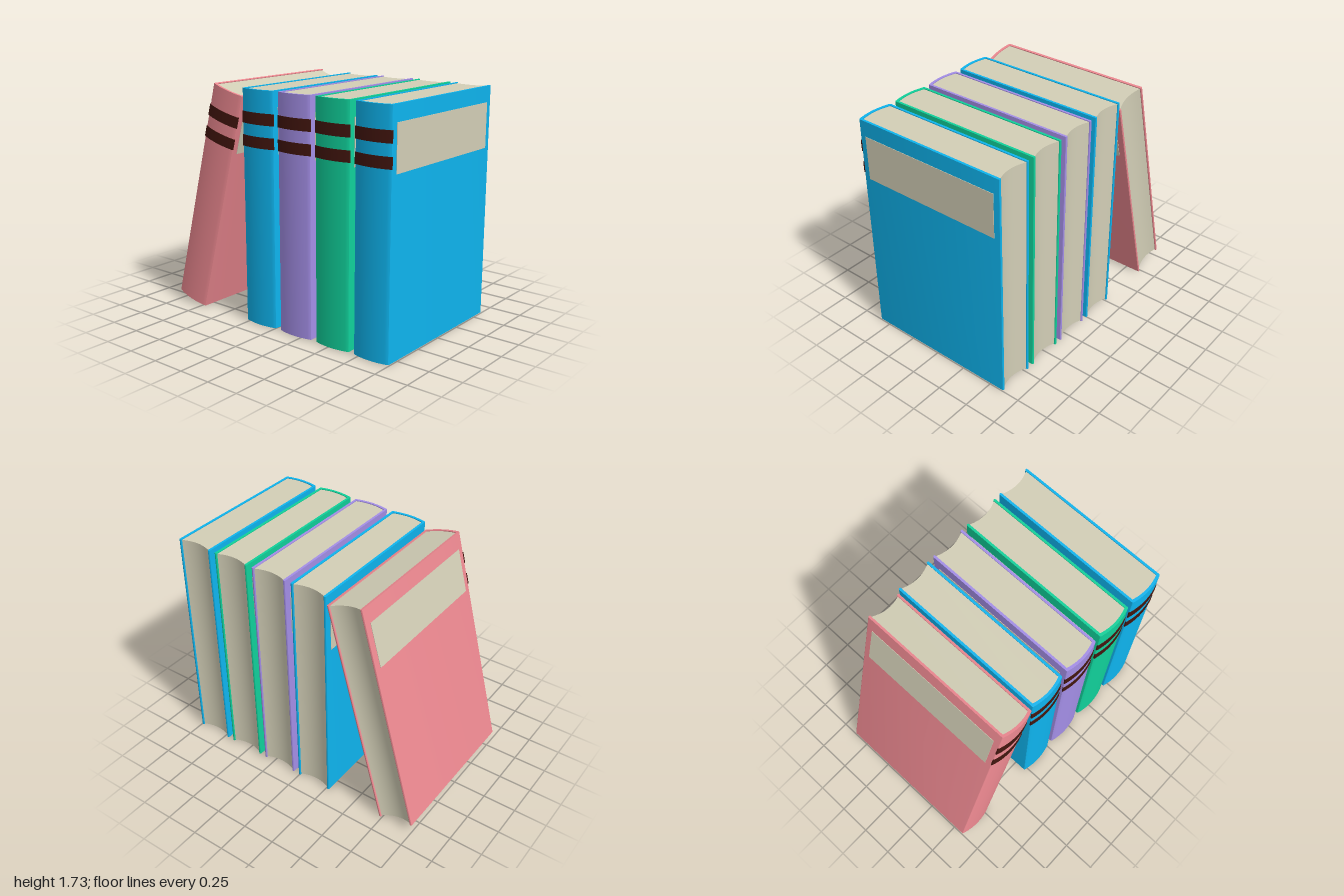
import * as THREE from 'three';
import { toCreasedNormals } from 'three/addons/utils/BufferGeometryUtils.js';

const H = 1.714, HW = 0.142, T = 0.018;   // book height, half width, board thickness
const FRONT = 0.594, BACK = -0.615;       // z of the spine corners and the fore edge
const R = 0.008;                          // corner rounding

const mat = (color) => new THREE.MeshStandardMaterial({ color });
const paper = mat(0xd2ceb6);
const bandMat = mat(0x42150e);

// Extrudes a plan outline (x, -z) upwards from y0 to y1
function prism(name, shape, y0, y1, material) {
  let geo = new THREE.ExtrudeGeometry(shape, { depth: y1 - y0, bevelEnabled: false, curveSegments: 14 });
  geo.rotateX(-Math.PI / 2);
  geo.translate(0, y0, 0);
  geo = toCreasedNormals(geo, 0.6);
  const mesh = new THREE.Mesh(geo, material);
  mesh.name = name;
  return mesh;
}

// U-shaped cover: two boards joined by a bulging spine
function coverShape() {
  const s = new THREE.Shape(), i = HW - T;
  s.moveTo(-HW, -BACK - R);
  s.lineTo(-HW, -FRONT + R);
  s.quadraticCurveTo(-HW, -FRONT, -HW + R, -FRONT - 0.002);
  s.quadraticCurveTo(0, -FRONT - 0.04, HW - R, -FRONT - 0.002);
  s.quadraticCurveTo(HW, -FRONT, HW, -FRONT + R);
  s.lineTo(HW, -BACK - R);
  s.quadraticCurveTo(HW, -BACK, HW - T / 2, -BACK);
  s.quadraticCurveTo(i, -BACK, i, -BACK - R);
  s.lineTo(i, -FRONT + T);
  s.quadraticCurveTo(0, -FRONT + T - 0.04, -i, -FRONT + T);
  s.lineTo(-i, -BACK - R);
  s.quadraticCurveTo(-i, -BACK, -HW + T / 2, -BACK);
  s.quadraticCurveTo(-HW, -BACK, -HW, -BACK - R);
  return s;
}

// Page block: rounded at the spine, hollow at the fore edge
function pagesShape() {
  const s = new THREE.Shape(), i = HW - T + 0.001;
  s.moveTo(-i, -FRONT + T);
  s.quadraticCurveTo(0, -FRONT + T - 0.041, i, -FRONT + T);
  s.lineTo(i, 0.605);
  s.quadraticCurveTo(0, 0.549, -i, 0.605);
  s.closePath();
  return s;
}

// Thin strip that hugs the spine
function bandShape() {
  const s = new THREE.Shape(), w = HW + 0.002, z = -FRONT;
  s.moveTo(-w, z + 0.006);
  s.lineTo(-w, z - 0.003);
  s.quadraticCurveTo(0, z - 0.045, w, z - 0.003);
  s.lineTo(w, z + 0.006);
  s.quadraticCurveTo(0, z - 0.032, -w, z + 0.006);
  return s;
}

function makeBook(name, color) {
  const book = new THREE.Group();
  book.name = name;
  book.add(prism('cover', coverShape(), 0, H, mat(color)));
  book.add(prism('pages', pagesShape(), 0.006, H - 0.006, paper));
  for (const [y0, y1] of [[1.308, 1.388], [1.472, 1.555]]) {
    book.add(prism('spineBand', bandShape(), y0, y1, bandMat));
  }
  // Label panels on both boards
  for (const side of [-1, 1]) {
    const label = new THREE.Mesh(new THREE.BoxGeometry(0.006, 0.328, 1.11), paper);
    label.name = side > 0 ? 'leftLabel' : 'rightLabel';
    label.position.set(side * HW, 1.434, -0.01);
    book.add(label);
  }
  return book;
}

export function createModel() {
  const group = new THREE.Group();
  group.name = 'bookRow';

  // Upright books
  const colors = [0x0eb4ee, 0xa38ee6, 0x10d09a, 0x0eb4ee];
  colors.forEach((color, i) => {
    const book = makeBook('uprightBook' + (i + 1), color);
    book.position.set(-0.134 + i * 0.329, 0.004, 0);
    group.add(book);
  });

  // Leaning book, resting on its lower edge
  const lean = makeBook('leaningBook', 0xec8890);
  const a = THREE.MathUtils.degToRad(15);
  lean.rotation.z = -a;
  lean.position.set(-1 + HW * Math.cos(a), HW * Math.sin(a), 0);
  group.add(lean);
  return group;
}
